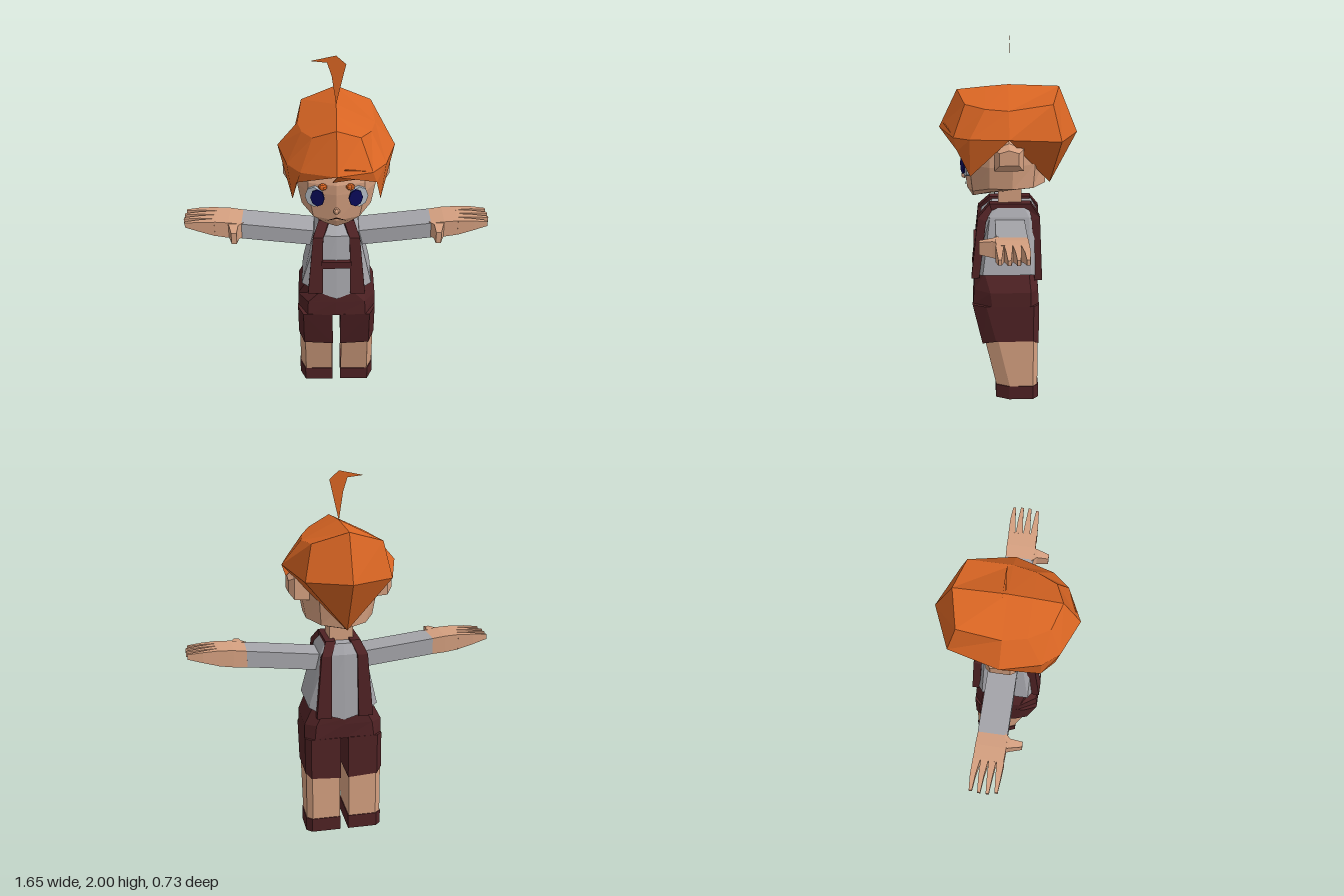
import * as THREE from 'three';

const mat = (name, color) => {
  const m = new THREE.MeshStandardMaterial({ color, flatShading: true, side: THREE.DoubleSide });
  m.name = name;
  return m;
};

// Half outline (front centre to back centre) mirrored into a full ring
const full = half => [...half, ...half.slice(1, -1).reverse().map(([x, y, z]) => [-x, y, z])];
// Half outline of [x, z] at one height
const level = (y, half) => full(half.map(([x, z]) => [x, y, z]));

// Skin between rings of equal length, with end caps; s = -1 mirrors in x
function loft(rings, s = 1, caps = true) {
  const pos = [];
  const tri = (a, b, c) => {
    const [A, B, C] = [a, b, c].map(p => new THREE.Vector3(p[0] * s, p[1], p[2]));
    if (new THREE.Triangle(A, B, C).getArea() < 1e-7) return;
    for (const v of s > 0 ? [A, B, C] : [A, C, B]) pos.push(v.x, v.y, v.z);
  };
  for (let i = 0; i + 1 < rings.length; i++) {
    const r = rings[i], q = rings[i + 1], n = r.length;
    for (let j = 0; j < n; j++) {
      const k = (j + 1) % n;
      tri(r[j], r[k], q[k]);
      tri(r[j], q[k], q[j]);
    }
  }
  if (caps) {
    const r = rings[0], q = rings[rings.length - 1];
    for (let j = 1; j + 1 < r.length; j++) {
      tri(r[0], r[j + 1], r[j]);
      tri(q[0], q[j], q[j + 1]);
    }
  }
  const g = new THREE.BufferGeometry();
  g.setAttribute('position', new THREE.Float32BufferAttribute(pos, 3));
  g.computeVertexNormals();
  return g;
}

export function createModel() {
  const model = new THREE.Group();
  model.name = 'child';
  const hair = mat('orange hair', 0xd96523), skin = mat('skin', 0xd5a080);
  const maroon = mat('maroon cloth', 0x4f2224), grey = mat('grey shirt', 0xa6a6ab);
  const white = mat('eye white', 0xb4bcc4), navy = mat('navy iris', 0x0a0a58), dark = mat('mouth line', 0x3a2018);
  const add = (name, geo, m) => {
    const mesh = new THREE.Mesh(geo, m);
    mesh.name = name;
    model.add(mesh);
    return mesh;
  };

  // Shirt body, hem dipping at front and back
  add('shirt', loft([
    full([[0, .675, .198], [.1, .715, .188], [.19, .745, .14], [.19, .745, -.12], [.12, .715, -.165], [0, .68, -.17]]),
    level(1.05, [[0, .15], [.1, .143], [.12, .1], [.12, -.11], [.1, -.15], [0, -.158]]),
    level(1.105, [[0, .09], [.07, .085], [.09, .05], [.09, -.08], [.07, -.125], [0, -.13]]),
  ]), grey);

  // Hips of the shorts
  add('hips', loft([
    level(.565, [[0, .198], [.16, .195], [.215, .09], [.215, -.12], [.165, -.165], [0, -.16]]),
    level(.65, [[0, .193], [.155, .188], [.213, .1], [.213, -.12], [.155, -.16], [0, -.163]]),
    full([[0, .675, .19], [.09, .715, .185], [.165, .745, .13], [.165, .745, -.11], [.12, .715, -.155], [0, .68, -.163]]),
  ]), maroon);

  // Leg outline at one height, f = front edge, drop lowers the inner side
  const legRing = (y, f, grow = 0, drop = 0) => [
    [.026 - grow, y - drop, f], [.178 + grow, y - drop * .7, f], [.21 + grow, y, f - .075],
    [.21 + grow, y, -.135], [.18 + grow, y - drop * .7, -.16 - grow], [.026 - grow, y - drop, -.16 - grow]];

  const strap = [ // x inner, x outer, y, z, then inner-face y and z
    [.075, .155, .715, .202, .715, .16], [.07, .125, 1.05, .165, 1.03, .12], [.04, .095, 1.118, .1, 1.08, .09],
    [.04, .095, 1.118, -.12, 1.08, -.11], [.07, .125, 1.05, -.168, 1.03, -.125], [.075, .155, .7, -.182, .7, -.14]];

  for (const s of [1, -1]) {
    const side = s > 0 ? 'left' : 'right';

    // Legs
    add(side + 'ShortsLeg', loft([legRing(.36, .145, .005, .035), legRing(.57, .197, .005)], s), maroon);
    add(side + 'Leg', loft([legRing(.08, .07), legRing(.38, .137)], s), skin);
    add(side + 'Shoe', loft([legRing(0, .073, .004), legRing(.08, .073, .004)], s), maroon);

    // Strap over the shoulder
    add(side + 'Strap', loft(strap.map(([a, b, y, z, yi, zi]) =>
      [[a, y, z], [a, yi, zi], [b, yi, zi], [b, y, z]]), s), maroon);

    // Arm
    const box = (x, yt, yb, z0, z1) => [[x, yt, z0], [x, yt, z1], [x, yb, z1], [x, yb, z0]];
    add(side + 'Sleeve', loft([box(.1, 1.035, .945, -.085, .072), box(.51, 1.082, .992, -.085, .072)], s), grey);
    add(side + 'Hand', loft([box(.51, 1.082, .992, -.084, .071), box(.58, 1.092, .998, -.087, .075),
      box(.66, 1.096, 1.01, -.087, .072)], s), skin);
    [.82, .825, .825, .815].forEach((tip, i) => {
      const c = -.068 + i * .041, t = -.076 + i * .044;
      add(side + 'Finger' + (i + 1), loft([box(.655, 1.096, 1.01, c - .02, c + .02),
        box(.74, 1.093, 1.035, t - .014, t + .014), box(tip, 1.085, 1.058, t - .008, t + .008)], s), skin);
    });
    const thumb = (x0, x1, y0, y1, z) => [[x1, y0, z], [x1, y1, z], [x0, y1, z], [x0, y0, z]];
    add(side + 'Thumb', loft([thumb(.5, .585, .995, 1.085, .06), thumb(.525, .575, 1, 1.085, .09),
      thumb(.53, .558, 1.01, 1.075, .155)], s), skin);

    // Ear
    const ear = (x, top, high, low, w) => [[x, top, 0], [x, high, w], [x, low, w], [x, low, -w], [x, high, -w]];
    add(side + 'Ear', loft([ear(.17, 1.5, 1.465, 1.34, .076), ear(.25, 1.49, 1.46, 1.345, .076),
      ear(.278, 1.46, 1.445, 1.38, .05)], s), skin);

    // Eye and brow
    const disc = (name, r, h, n, m, x, y, z, sx, sy) => {
      const g = new THREE.CylinderGeometry(r, r, h, n).rotateX(Math.PI / 2).scale(sx, sy, 1);
      const d = add(name, g, m);
      d.position.set(s * x, y, z);
      d.rotation.y = s * .3;
    };
    disc(side + 'EyeWhite', .06, .04, 8, white, .11, 1.337, .212, .8, .95);
    disc(side + 'Iris', .048, .009, 8, navy, .097, 1.337, .24, .78, 1);
    const brow = add(side + 'Brow', new THREE.SphereGeometry(.024, 7, 5).scale(1, .75, .7), hair);
    brow.position.set(s * .07, 1.397, .235);
  }
  add('crossStrap', new THREE.BoxGeometry(.16, .04, .03).translate(0, .89, .175), maroon);

  // Neck and head
  add('neck', new THREE.BoxGeometry(.13, .17, .125).translate(0, 1.155, -.008), skin);
  add('head', loft([
    full([[0, 1.14, .192], [.06, 1.158, .185], [.11, 1.19, .1], [.11, 1.2, -.02], [.07, 1.2, -.12], [0, 1.2, -.17]]),
    full([[0, 1.19, .222], [.12, 1.2, .19], [.182, 1.23, .1], [.182, 1.225, -.02], [.12, 1.215, -.13], [0, 1.21, -.2]]),
    level(1.35, [[0, .238], [.145, .205], [.205, .1], [.205, -.02], [.13, -.14], [0, -.2]]),
    level(1.405, [[0, .24], [.145, .205], [.205, .1], [.205, -.02], [.13, -.14], [0, -.2]]),
    level(1.56, [[0, .18], [.12, .16], [.19, .08], [.19, -.02], [.13, -.14], [0, -.2]]),
  ]), skin);
  add('nose', new THREE.SphereGeometry(.018, 6, 5).translate(0, 1.255, .235), skin);
  const mouth = new THREE.Shape([[-.06, 1.195], [0, 1.207], [.06, 1.195], [0, 1.216]].map(p => new THREE.Vector2(...p)));
  add('mouth', new THREE.ShapeGeometry(mouth).translate(0, 0, .231), dark);

  // Hair cap: lower edge, widest ring, upper ridge, crown line
  const back = [0, 1.21, -.225];
  add('hairCap', loft([
    [[0, 1.52, .365], [.2, 1.44, .265], [.225, 1.31, .2], [.305, 1.52, 0], back, back],
    [[0, 1.52, .365], [.18, 1.505, .285], [.25, 1.51, .2], [.305, 1.52, 0], [.225, 1.49, -.27], [0, 1.49, -.367]],
    [[0, 1.72, .268], [.12, 1.665, .225], [.175, 1.65, .12], [.2, 1.645, 0], [.185, 1.675, -.225], [0, 1.735, -.267]],
    [[0, 1.72, .268], [0, 1.72, .268], [0, 1.735, .12], [0, 1.745, 0], [0, 1.735, -.267], [0, 1.735, -.267]],
  ].map(full), 1, false), hair);

  // Fringe lock across the forehead
  add('fringeLock', loft([
    [[-.02, 1.435, .262], [.14, 1.46, .262], [.17, 1.51, .285], [.04, 1.548, .34]],
  ].flatMap(r => [r.map(([x, y, z]) => [x, y, z - .006]), r])), hair);

  // Flat upright curl
  const curl = new THREE.Shape([[0, 1.74], [.05, 1.955], [0, 2], [-.13, 1.972], [-.045, 1.963], [-.022, 1.89]]
    .map(p => new THREE.Vector2(...p)));
  add('curl', new THREE.ShapeGeometry(curl).translate(0, 0, -.008), hair);

  return model;
}
